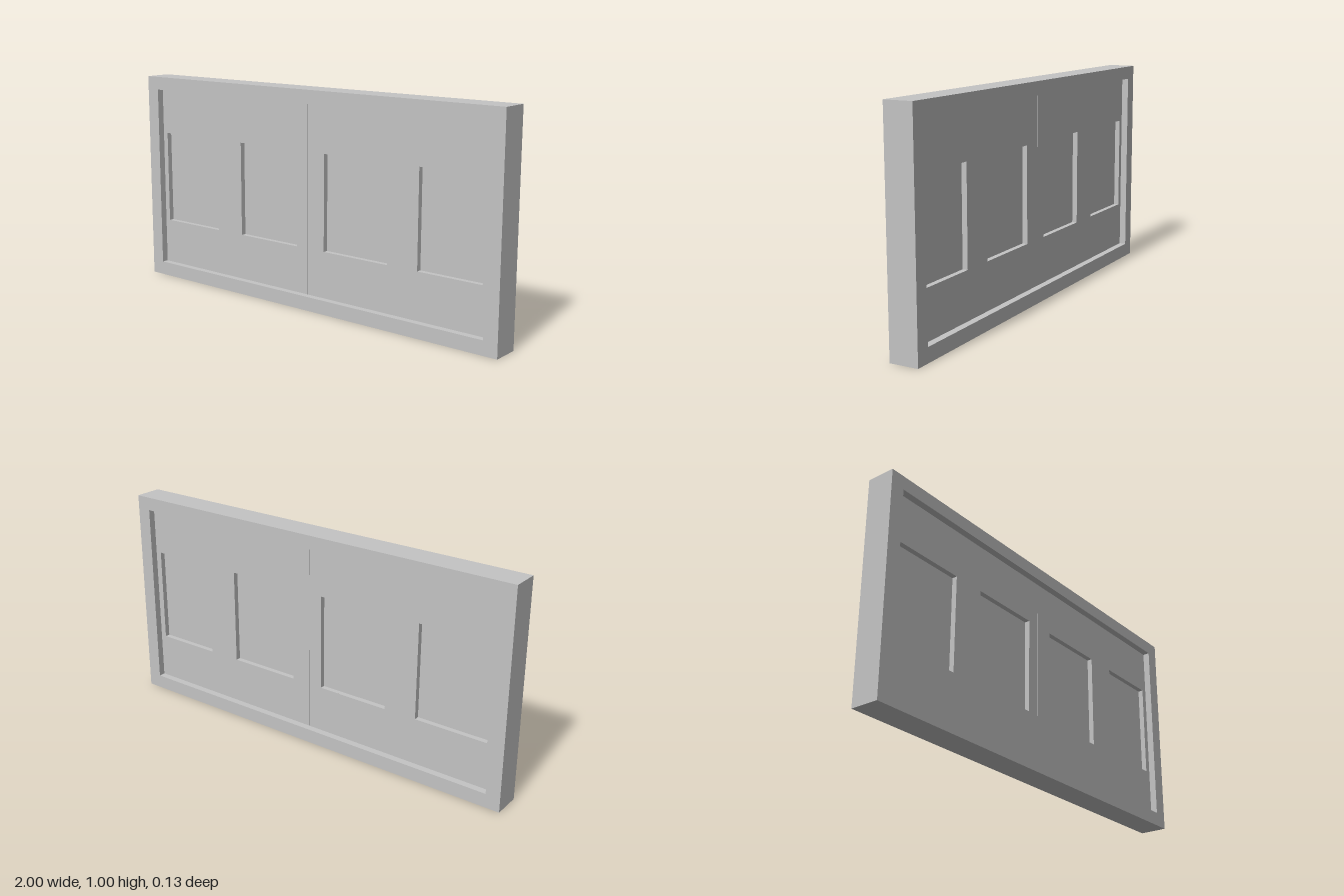
import * as THREE from 'three';

// Rectangle outline as a Shape or a hole Path
function rect(Type, [x0, x1, y0, y1]) {
  const p = new Type();
  p.moveTo(x0, y0);
  p.lineTo(x1, y0);
  p.lineTo(x1, y1);
  p.lineTo(x0, y1);
  p.closePath();
  return p;
}

// Flat board, centred on z = 0, with rectangular openings
function board(name, outline, openings, depth, material) {
  const shape = rect(THREE.Shape, outline);
  shape.holes = openings.map((o) => rect(THREE.Path, o));
  const geometry = new THREE.ExtrudeGeometry(shape, { depth, bevelEnabled: false });
  geometry.translate(0, 0, -depth / 2);
  const mesh = new THREE.Mesh(geometry, material);
  mesh.name = name;
  return mesh;
}

export function createModel() {
  const group = new THREE.Group();
  group.name = 'slidingWindow';
  const grey = new THREE.MeshStandardMaterial({ color: 0xc4c4c4 });
  grey.name = 'lightGrey';

  const inX = 0.933, bottom = 0.065, top = 0.938;
  const paneY = [0.28, 0.722];
  const gap = 0.001; // half of the seam between the leaves

  // Outer frame
  group.add(board('frame', [-1, 1, 0, 1], [[-inX, inX, bottom, top]], 0.13, grey));

  // Two leaves, each with two recessed panes
  const leaves = [
    { name: 'rightLeaf', x: [-inX, -gap], panes: [[-0.907, -0.562], [-0.408, -0.063]] },
    { name: 'leftLeaf', x: [gap, inX], panes: [[0.092, 0.437], [0.592, 0.905]] },
  ];
  for (const { name, x, panes } of leaves) {
    const openings = panes.map((p) => [...p, ...paneY]);
    group.add(board(name, [...x, bottom, top], openings, 0.066, grey));
    openings.forEach((o, i) => group.add(board(`${name}Pane${i + 1}`, o, [], 0.018, grey)));
  }
  return group;
}
